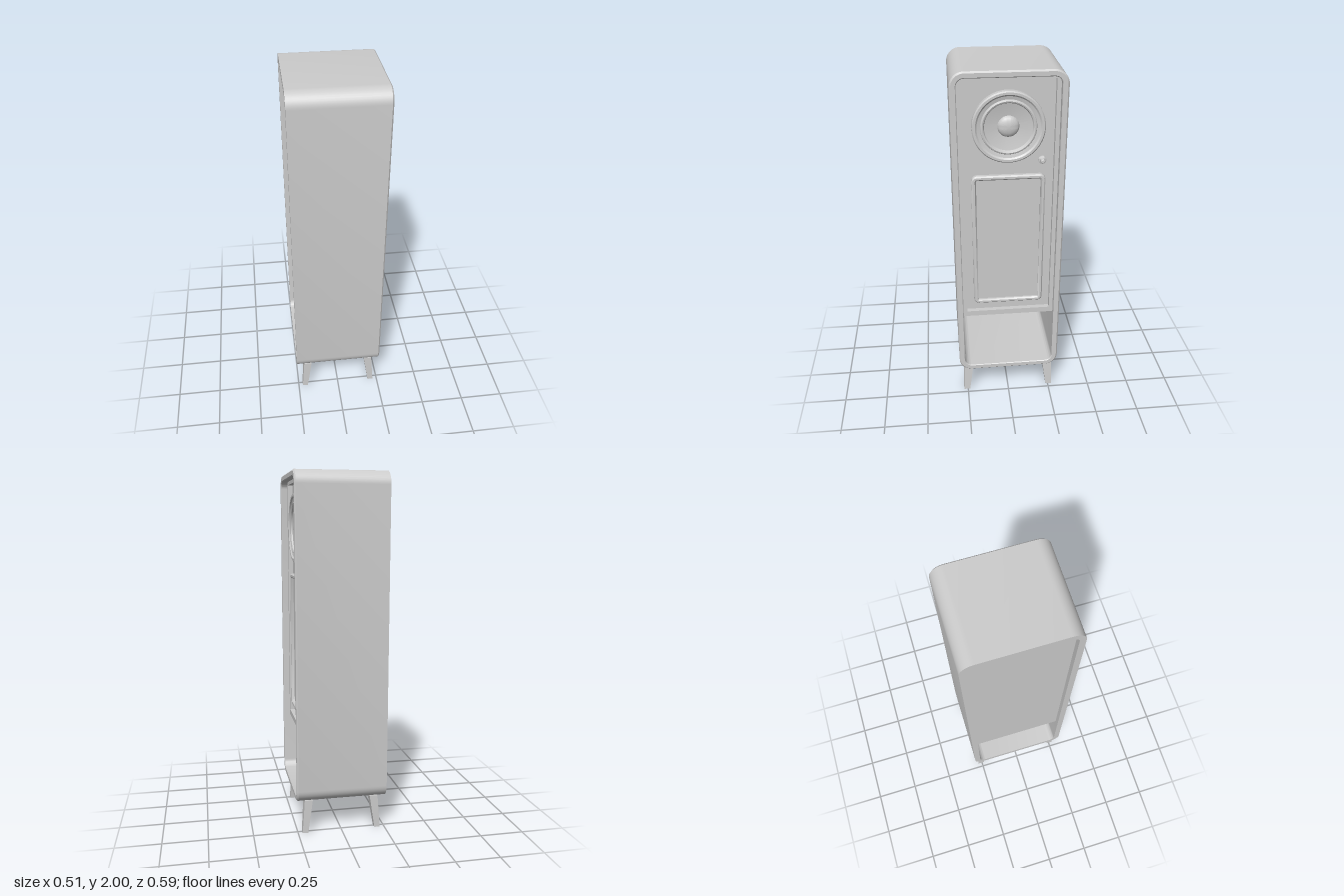
import * as THREE from 'three';
import { toCreasedNormals } from 'three/addons/utils/BufferGeometryUtils.js';

const material = new THREE.MeshStandardMaterial({ color: 0xcccccc });

function add(parent, name, geometry, x = 0, y = 0, z = 0) {
  const mesh = new THREE.Mesh(geometry, material);
  mesh.name = name;
  mesh.position.set(x, y, z);
  parent.add(mesh);
  return mesh;
}

// Counter-clockwise outline of a rounded rectangle centred on the origin
function roundedOutline(w, h, r, steps = 10) {
  const points = [];
  const corners = [[1, 1], [-1, 1], [-1, -1], [1, -1]];
  corners.forEach(([sx, sy], i) => {
    for (let k = 0; k <= steps; k++) {
      const a = (i + k / steps) * Math.PI / 2;
      points.push([sx * (w / 2 - r) + r * Math.cos(a), sy * (h / 2 - r) + r * Math.sin(a)]);
    }
  });
  return points;
}

// Closed frame: a section of [inset, z] points carried round a rounded rectangle
function frameGeometry(w, h, r, section) {
  const positions = [], index = [];
  const n = roundedOutline(w, h, r).length;
  for (const [inset, z] of section) {
    const ring = roundedOutline(w - 2 * inset, h - 2 * inset, Math.max(r - inset, 0.003));
    for (const [x, y] of ring) positions.push(x, y, z);
  }
  for (let s = 0; s < section.length; s++) {
    const t = (s + 1) % section.length;
    for (let i = 0; i < n; i++) {
      const j = (i + 1) % n;
      const a = s * n + i, b = s * n + j, c = t * n + j, d = t * n + i;
      index.push(a, b, c, a, c, d);
    }
  }
  const geometry = new THREE.BufferGeometry();
  geometry.setAttribute('position', new THREE.Float32BufferAttribute(positions, 3));
  geometry.setIndex(index);
  return toCreasedNormals(geometry, 0.5);
}

// Rectangle with rounded top corners and square bottom corners
function archShape(halfW, bottom, top, r) {
  const s = new THREE.Shape();
  s.moveTo(-halfW, bottom);
  s.lineTo(halfW, bottom);
  s.lineTo(halfW, top - r);
  s.absarc(halfW - r, top - r, r, 0, Math.PI / 2);
  s.lineTo(-halfW + r, top);
  s.absarc(-halfW + r, top - r, r, Math.PI / 2, Math.PI);
  s.lineTo(-halfW, bottom);
  return s;
}

const extrude = (shape, depth) =>
  new THREE.ExtrudeGeometry(shape, { depth, bevelEnabled: false, curveSegments: 10 });

// Lathe turned so that its axis points along +z; points are [radius, z]
function turned(points, segments = 64) {
  const profile = points.map(([r, z]) => new THREE.Vector2(r, z));
  return toCreasedNormals(new THREE.LatheGeometry(profile, segments).rotateX(Math.PI / 2), 0.5);
}

// Square leg, tapering and splaying outwards towards the foot
function legGeometry(sx, sz) {
  const g = new THREE.BoxGeometry(1, 1, 1);
  const p = g.attributes.position;
  for (let i = 0; i < p.count; i++) {
    const top = p.getY(i) > 0;
    const x = sx * (top ? 0.24 : 0.256) + p.getX(i) * (top ? 0.058 : 0.037);
    const z = sz * (top ? 0.188 : 0.209) + p.getZ(i) * (top ? 0.046 : 0.032);
    p.setXYZ(i, x, top ? 0.19 : 0, z);
  }
  g.computeVertexNormals();
  return g;
}

export function createModel() {
  const group = new THREE.Group();
  group.name = 'floorSpeaker';
  const cabinet = new THREE.Group();
  cabinet.name = 'cabinet';
  cabinet.rotation.y = Math.PI / 2; // the driver face looks along +x
  group.add(cabinet);

  // Open outer shell with a chamfered front edge
  add(cabinet, 'shell', frameGeometry(0.592, 1.82, 0.075, [
    [0, -0.257], [0, 0.249], [0.008, 0.257], [0.03, 0.257], [0.034, 0.253], [0.034, -0.257],
  ]), 0, 1.09, 0);

  // Enclosure in the upper part of the shell, with a raised rim round the baffle
  const baffleZ = 0.193;
  add(cabinet, 'enclosure', extrude(archShape(0.264, 0.553, 1.968, 0.042), baffleZ + 0.227), 0, 0, -0.227);
  const rim = archShape(0.264, 0.553, 1.968, 0.042);
  rim.holes.push(new THREE.Path([[-0.24, 0.585], [-0.24, 1.947], [0.24, 1.947], [0.24, 0.585]]
    .map(([x, y]) => new THREE.Vector2(x, y))));
  add(cabinet, 'baffleRim', extrude(rim, 0.027), 0, 0, baffleZ);

  // Driver: trim ring, surround, cone and dome
  const driver = new THREE.Group();
  driver.name = 'driver';
  driver.position.set(0, 1.7, baffleZ);
  cabinet.add(driver);
  add(driver, 'trimRing', turned([
    [0.19, 0], [0.19, 0.026], [0.184, 0.033], [0.172, 0.033], [0.164, 0.026], [0.146, 0.022], [0.146, 0],
  ]));
  add(driver, 'surround', turned([
    [0.148, 0.018], [0.144, 0.025], [0.137, 0.028], [0.13, 0.025], [0.125, 0.016],
  ]));
  add(driver, 'cone', turned([[0.126, 0.017], [0.05, 0.002], [0, 0.002]]));
  add(driver, 'dome', turned([
    [0.057, 0.002], [0.054, 0.01], [0.046, 0.017], [0.032, 0.023], [0.016, 0.026], [0, 0.027],
  ]));

  // Small control knob
  add(cabinet, 'knob', turned([
    [0.022, 0], [0.022, 0.006], [0.013, 0.01], [0.011, 0.03], [0.008, 0.033], [0, 0.033],
  ], 24), 0.18, 1.51, baffleZ);

  // Lower panel in a raised rounded frame
  add(cabinet, 'panelFrame', frameGeometry(0.394, 0.8, 0.03, [
    [0, 0], [0, 0.018], [0.007, 0.025], [0.018, 0.025], [0.025, 0.018], [0.025, 0],
  ]), 0, 1.035, baffleZ);
  add(cabinet, 'panel', new THREE.BoxGeometry(0.346, 0.752, 0.008), 0, 1.035, baffleZ + 0.004);

  // Four splayed legs
  for (const sx of [-1, 1]) for (const sz of [-1, 1]) add(cabinet, 'leg', legGeometry(sx, sz));

  return group;
}
